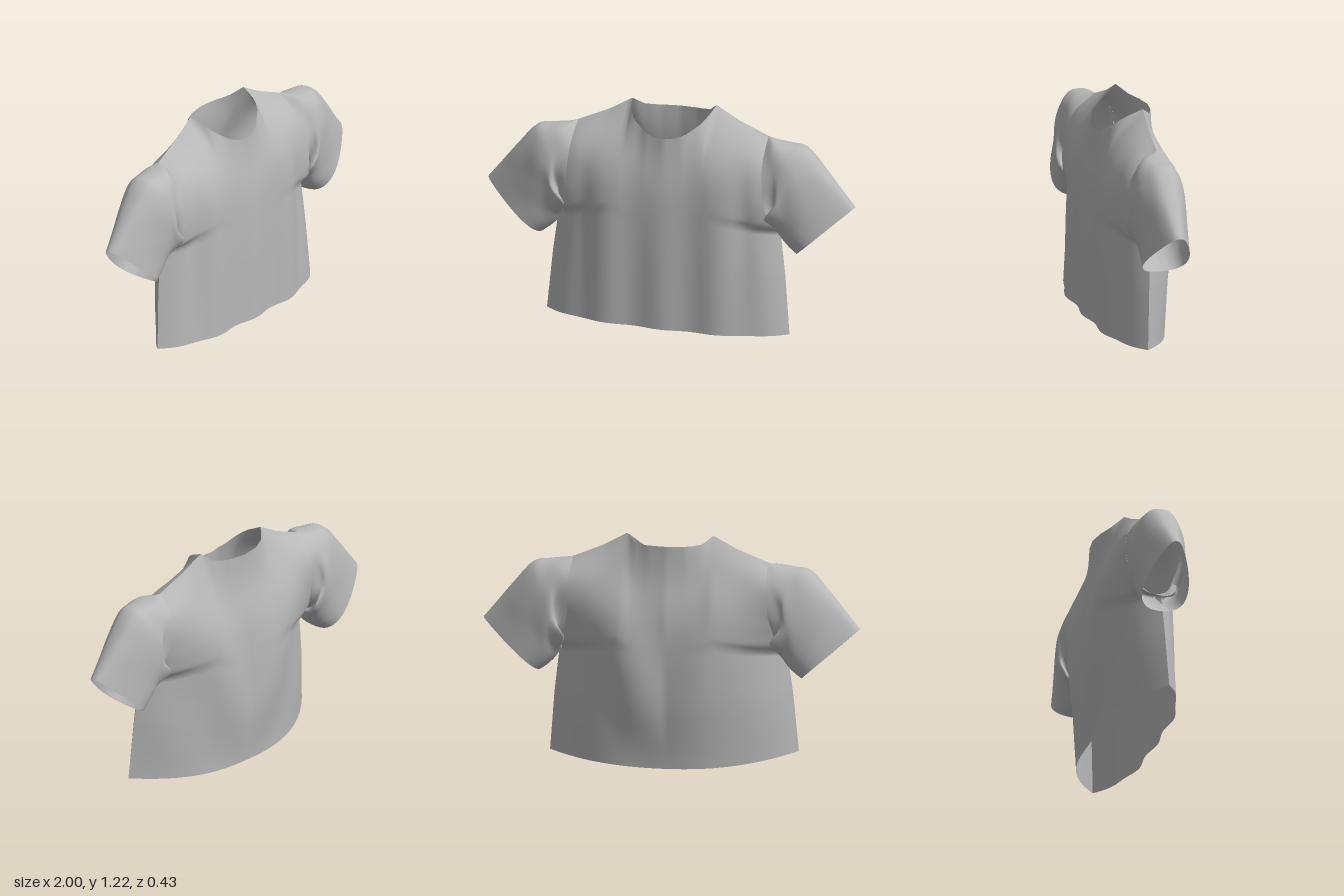
import * as THREE from 'three';

// Piecewise-linear lookup in a list of [key, value] pairs
function look(table, k) {
  for (let i = 1; i < table.length; i++) {
    const [a, p] = table[i - 1], [b, q] = table[i];
    if (k <= b) return p + (q - p) * Math.max(0, (k - a) / (b - a));
  }
  return table[table.length - 1][1];
}

// The same lookup with its corners rounded off
function soft(table, k) {
  let sum = 0;
  for (let i = -3; i <= 3; i++) sum += look(table, k + i * 0.025);
  return sum / 7;
}

// Smooth grid surface from a point function; flip reverses the facing
function grid(cols, rows, point, flip) {
  const pos = [], index = [];
  for (let j = 0; j <= rows; j++)
    for (let i = 0; i <= cols; i++) pos.push(...point(i, j));
  for (let j = 0; j < rows; j++)
    for (let i = 0; i < cols; i++) {
      const a = j * (cols + 1) + i, b = a + 1, c = a + cols + 1, d = c + 1;
      if (flip) index.push(a, d, b, a, c, d);
      else index.push(a, b, d, a, d, c);
    }
  const g = new THREE.BufferGeometry();
  g.setAttribute('position', new THREE.Float32BufferAttribute(pos, 3));
  g.setIndex(index);
  g.computeVertexNormals();
  return g;
}

const NECK = 0.23, SHOULDER = 0.52, UNDERARM = 0.53;

// Top edge (neckline, then shoulder seam), keyed by distance from the centre
const topEdge = {
  front: {
    y: [[0, 1.07], [0.06, 1.075], [0.12, 1.1], [0.18, 1.145], [0.21, 1.18], [NECK, 1.22], [0.36, 1.15], [SHOULDER, 1.085]],
    z: [[0, 0.16], [0.1, 0.14], [0.18, 0.09], [0.21, 0.05], [NECK, -0.04], [SHOULDER, -0.02]],
  },
  back: {
    y: [[0, 1.17], [0.12, 1.172], [0.18, 1.18], [NECK, 1.22], [0.36, 1.15], [SHOULDER, 1.085]],
    z: [[0, -0.14], [0.1, -0.125], [0.18, -0.09], [NECK, -0.04], [SHOULDER, -0.02]],
  },
};
const halfWidth = [[0, 0.662], [0.3, 0.635], [0.53, 0.605], [0.62, 0.56], [0.72, 0.535], [1, SHOULDER]];
const depth = {
  front: [[0, 0.207], [0.4, 0.205], [0.75, 0.195], [0.9, 0.175], [1, 0.165]],
  back: [[0, -0.155], [0.12, -0.172], [0.28, -0.197], [0.5, -0.209], [0.64, -0.204], [0.72, -0.193], [0.8, -0.167], [0.88, -0.142], [1, -0.135]],
};

// Point on a body panel: s runs -1..1 across, v runs 0..1 from hem to top
function bodyPoint(face, s, v) {
  const front = face === 'front', d = Math.abs(s), e = topEdge[face];
  const corner = 0.0625 - 0.0175 * s;
  const hem = front ? corner - 0.01 * (1 - d * d) : corner * d * d;
  const x = s * look(halfWidth, v);
  const y = hem + (look(e.y, d * SHOULDER) - hem) * v;
  // side seam below the underarm, armhole edge above it
  const k = Math.max(0, (v - UNDERARM) / (1 - UNDERARM));
  const open = 0.135 * Math.pow(4 * k * (1 - k), 0.4);
  const seam = (v < UNDERARM ? 0.07 - 0.05 * v : 0.0435 - 0.0635 * k) + (front ? open : -open);
  const round = 1 - Math.pow(d, front ? 4 : 2.8);
  let z = seam + (soft(depth[face], v) - seam) * round;
  // hanging folds in front, diagonal drapes behind
  const x1 = Math.abs(x);
  z += front
    ? round * (1 - v * v) * (0.01 * Math.cos(x * 20.5) - 0.035 * v * Math.exp(-(((x1 - 0.44) / 0.05) ** 2)))
    : -round * Math.sin(Math.PI * v) * 0.014 * Math.cos(13 * (x1 - 0.45 * v));
  // the top closes toward the neckline early, and late beside the sleeves
  const w = Math.pow(Math.max(0, (v - 0.5) / 0.5), 3 + 8 * d ** 4);
  z += (look(e.z, d * SHOULDER) - z) * w;
  return [x, y, z];
}

function panel(face, material) {
  const half = 14, rows = 48, n = NECK / SHOULDER;
  const g = grid(half * 4, rows, (i, j) => {
    const t = (i - half * 2) / half, d = Math.abs(t);
    const s = Math.sign(t) * (d <= 1 ? d * n : n + (d - 1) * (1 - n));
    return bodyPoint(face, s, 1 - (1 - j / rows) ** 1.4);
  }, face === 'back');
  const m = new THREE.Mesh(g, material);
  m.name = face + 'Panel';
  return m;
}

// Sleeve rings after the armhole: top x,y, bottom x,y, front and back depth, fullness low down
const rings = [
  [0.575, 1.072, 0.6, 0.62, 0.132, 0.128, -0.1],
  [0.66, 1.062, 0.585, 0.61, 0.155, 0.14, 0.2],
  [0.73, 1.05, 0.6, 0.575, 0.148, 0.138, 0.25],
  [0.84, 0.935, 0.62, 0.545, 0.132, 0.125, 0.4],
  [0.92, 0.84, 0.655, 0.51, 0.122, 0.114, 0.7],
  [1.0, 0.745, 0.695, 0.48, 0.114, 0.104, 1],
];

function sleeve(side, material) {
  const half = 20, steps = 24, columns = [];
  for (let i = 0; i <= half * 2; i++) {
    const front = i <= half, a = Math.PI * (front ? i : half * 2 - i) / half;
    const k = (1 - Math.cos(a)) / 2, sin = Math.max(0, Math.sin(a));
    const start = bodyPoint(front ? 'front' : 'back', side, UNDERARM + (1 - UNDERARM) * k);
    const pts = [new THREE.Vector3(...start)];
    rings.forEach(([tx, ty, bx, by, zf, zb, full], r) => {
      // gathers die out toward the cuff; one ring sags inward over the body below the arm
      const gather = 0.01 * Math.sin(a * 5 + r * 2.1) * sin * Math.max(0, 1 - r / 4);
      const sag = r === 1 ? Math.exp(-(((k - 0.14) / 0.13) ** 2)) * sin : 0;
      const z = Math.pow(sin, 0.75) * (1 + full * (0.5 - k) + 0.2 * sag) * (front ? zf : -zb);
      pts.push(new THREE.Vector3(side * (bx + (tx - bx) * k + gather - 0.07 * sag), by + (ty - by) * k, z + gather * 0.6 + 0.005));
    });
    columns.push(new THREE.CatmullRomCurve3(pts, false, 'centripetal'));
  }
  const g = grid(half * 2, steps, (i, j) => columns[i].getPoint(j / steps).toArray(), side < 0);
  const m = new THREE.Mesh(g, material);
  m.name = side > 0 ? 'leftSleeve' : 'rightSleeve';
  return m;
}

export function createModel() {
  const cloth = new THREE.MeshStandardMaterial({ color: 0xb8b8b8, side: THREE.DoubleSide });
  cloth.name = 'grey cloth';
  const shirt = new THREE.Group();
  shirt.name = 'shirt';
  for (const face of ['front', 'back']) shirt.add(panel(face, cloth));
  for (const side of [1, -1]) shirt.add(sleeve(side, cloth));
  return shirt;
}
